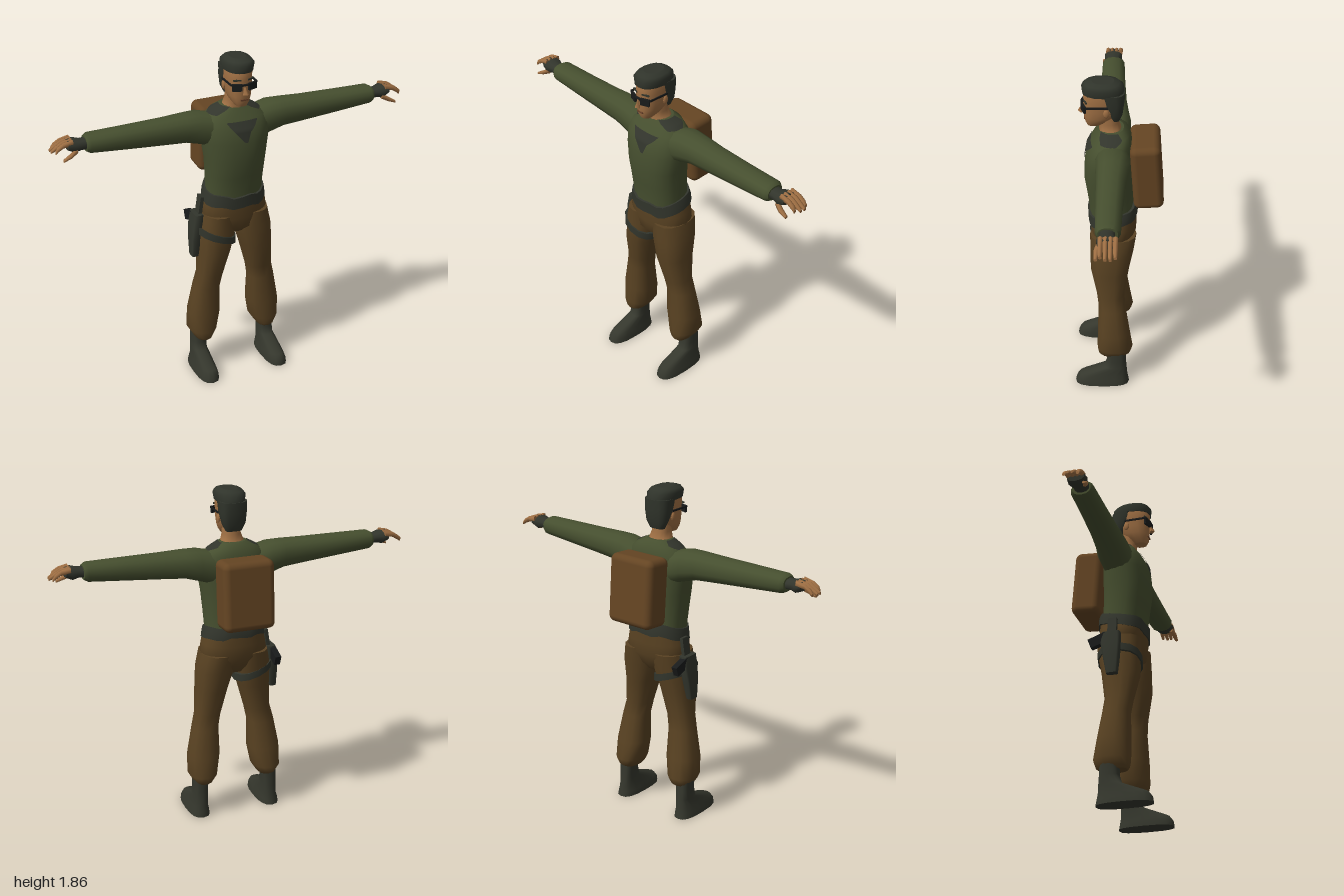
import * as THREE from 'three';
import { RoundedBoxGeometry } from 'three/addons/geometries/RoundedBoxGeometry.js';

const material = (name, color) => Object.assign(new THREE.MeshStandardMaterial({ color }), { name });

// Point on a rounded cross-section [level, u0, u1, v0, v1]; angle 0 is the front, growing to +u.
function ringPoint([level, u0, u1, v0, v1], angle, power, grow = 0) {
  const bend = (t) => Math.sign(t) * Math.abs(t) ** (2 / power);
  return [
    (u0 + u1) / 2 + ((u1 - u0) / 2 + grow) * bend(Math.sin(angle)),
    level,
    (v0 + v1) / 2 + ((v1 - v0) / 2 + grow) * bend(Math.cos(angle)),
  ];
}

// Capped skin over rising cross-sections; alongX turns the rising axis to +x (u = z, v = y).
function loft(sections, { n = 14, power = 2.3, alongX = false } = {}) {
  const pos = [], index = [];
  const ring = (s) => {
    const start = pos.length / 3;
    for (let j = 0; j < n; j++) pos.push(...ringPoint(s, (j / n) * Math.PI * 2, power));
    return start;
  };
  const starts = sections.map(ring);
  for (let i = 0; i + 1 < starts.length; i++) {
    for (let j = 0; j < n; j++) {
      const k = (j + 1) % n, [a, b] = [starts[i], starts[i + 1]];
      index.push(a + j, a + k, b + k, a + j, b + k, b + j);
    }
  }
  [[sections[0], false], [sections.at(-1), true]].forEach(([s, top]) => {
    const a = ring(s), c = a + n;
    pos.push((s[1] + s[2]) / 2, s[0], (s[3] + s[4]) / 2);
    for (let j = 0; j < n; j++) {
      const k = (j + 1) % n;
      index.push(c, a + (top ? j : k), a + (top ? k : j));
    }
  });
  if (alongX) for (let i = 0; i < pos.length; i += 3) [pos[i], pos[i + 1], pos[i + 2]] = [pos[i + 1], pos[i + 2], pos[i]];
  const geo = new THREE.BufferGeometry();
  geo.setAttribute('position', new THREE.Float32BufferAttribute(pos, 3));
  geo.setIndex(index);
  geo.computeVertexNormals();
  return geo;
}

// Mirror image across x = 0, with corner order kept outward.
function mirrored(source) {
  const geo = source.clone().scale(-1, 1, 1);
  const id = geo.index.array;
  for (let i = 0; i < id.length; i += 3) [id[i], id[i + 1]] = [id[i + 1], id[i]];
  geo.computeVertexNormals();
  return geo;
}

// Move every vertex height by a rule of x and z.
function slope(geo, rule) {
  const p = geo.attributes.position;
  for (let i = 0; i < p.count; i++) p.setY(i, p.getY(i) + rule(p.getX(i), p.getZ(i)));
  geo.computeVertexNormals();
  return geo;
}

const TORSO = [
  [1.06, -.155, .155, -.095, .152], [1.12, -.155, .155, -.085, .155], [1.2, -.16, .16, -.08, .165],
  [1.3, -.168, .168, -.08, .18], [1.4, -.185, .185, -.08, .175], [1.47, -.19, .19, -.08, .163],
  [1.52, -.175, .175, -.07, .135], [1.56, -.12, .12, -.06, .108], [1.585, -.07, .07, -.03, .092],
];

// Thin painted patch on the torso; rows are [y, angle0, angle1].
function torsoPatch(rows) {
  const at = (table, i, t) => table[i].map((v, k) => v + (table[i + 1][k] - v) * t);
  const geo = new THREE.PlaneGeometry(1, 1, 8, 12), p = geo.attributes.position;
  for (let i = 0; i < p.count; i++) {
    const f = (.5 - p.getY(i)) * (rows.length - 1), r = Math.min(Math.floor(f), rows.length - 2);
    const [y, a0, a1] = at(rows, r, f - r);
    let s = TORSO.findIndex((q) => q[0] >= y) - 1;
    s = Math.max(0, s);
    const section = at(TORSO, s, (y - TORSO[s][0]) / (TORSO[s + 1][0] - TORSO[s][0]));
    p.setXYZ(i, ...ringPoint(section, a0 + (a1 - a0) * (p.getX(i) + .5), 2.3, .005));
  }
  geo.computeVertexNormals();
  return geo;
}

export function createModel() {
  const model = new THREE.Group();
  model.name = 'figure';
  const green = material('shirt green', 0x464f2f), brown = material('trouser brown', 0x594222);
  const tan = material('pack brown', 0x654523), skin = material('skin', 0xa07044);
  const dark = material('dark cloth', 0x32352c), boot = material('boot', 0x35372d);
  const hairMat = material('hair', 0x30342b), black = material('black', 0x191b1b);
  const lip = material('lip', 0x6a4229);

  const add = (name, geo, mat) => {
    const mesh = new THREE.Mesh(geo, mat);
    mesh.name = name;
    model.add(mesh);
    return mesh;
  };
  const pair = (name, geo, mat) => {
    add('left' + name, geo, mat);
    add('right' + name, mirrored(geo), mat);
  };
  const box = (w, h, d, x, y, z, rx = 0, ry = 0, rz = 0) =>
    new THREE.BoxGeometry(w, h, d).rotateX(rx).rotateY(ry).rotateZ(rz).translate(x, y, z);

  // Shirt
  add('torso', loft(TORSO, { n: 24 }), green);
  pair('Sleeve', loft([
    [.1, -.06, .12, 1.35, 1.535], [.2, -.068, .115, 1.385, 1.56], [.28, -.055, .11, 1.408, 1.56],
    [.4, -.042, .106, 1.417, 1.556], [.6, -.032, .103, 1.433, 1.553], [.8, -.026, .1, 1.45, 1.55],
    [.82, -.012, .088, 1.462, 1.538],
  ], { alongX: true }), green);
  add('chestPatch', torsoPatch([
    [1.515, -.42, .48], [1.488, -.3, .34], [1.46, -.17, .17], [1.43, -.06, .12], [1.405, .02, .08],
  ]), dark);
  pair('CollarPatch', torsoPatch([[1.584, .55, 2], [1.565, .65, 2.1], [1.545, .9, 1.7]]), dark);

  // Trousers
  add('hips', loft([
    [.85, -.06, .06, -.04, .1], [.89, -.15, .15, -.07, .14], [.95, -.19, .19, -.098, .148],
    [1.02, -.178, .178, -.1, .152], [1.085, -.162, .162, -.1, .152],
  ], { n: 20 }), brown);
  pair('Leg', loft([
    [.195, .145, .235, -.048, .098], [.21, .135, .245, -.07, .11], [.25, .11, .268, -.084, .114],
    [.36, .088, .27, -.066, .112], [.52, .09, .24, -.042, .106], [.6, .075, .22, -.036, .116],
    [.75, .036, .212, -.06, .148], [.87, .002, .21, -.085, .15], [.97, .002, .188, -.1, .15],
  ]), brown);

  // Belt, higher at the back
  add('belt', slope(loft([
    [1.052, -.176, .176, -.107, .161], [1.085, -.171, .171, -.107, .162], [1.118, -.163, .163, -.1, .164],
  ], { n: 24 }), (x, z) => -.2 * z + .008 * Math.sin(x * 45)), dark);

  // Boots
  pair('Boot', loft([
    [0, .15, .27, -.065, .24], [.03, .152, .266, -.06, .235], [.06, .16, .256, -.055, .213],
    [.115, .165, .248, -.05, .075], [.16, .165, .247, -.047, .06], [.22, .16, .248, -.045, .06],
  ], { n: 16, power: 2.7 }), boot);

  // Gloves, fingers and thumbs
  pair('Glove', loft([
    [.8, 0, .08, 1.472, 1.53], [.845, .002, .082, 1.475, 1.53], [.88, -.012, .092, 1.468, 1.54],
    [.915, -.01, .085, 1.485, 1.538],
  ], { n: 10, alongX: true }), dark);
  for (let i = 0; i < 4; i++) {
    const z = -.014 + i * .024, tip = [.985, 1, .998, .98][i];
    pair('Finger' + (i + 1), loft([
      [.89, z, z + .026, 1.512, 1.545], [.94, z, z + .025, 1.506, 1.534],
      [.97, z + .001, z + .024, 1.488, 1.516], [tip, z + .004, z + .021, 1.478, 1.495],
    ], { n: 6, alongX: true }), skin);
  }
  pair('Thumb', loft([
    [.87, .06, .09, 1.47, 1.5], [.91, .075, .104, 1.452, 1.478], [.948, .083, .102, 1.44, 1.455],
  ], { n: 6, alongX: true }), skin);

  // Neck and head
  add('neck', loft([
    [1.545, -.085, .085, -.03, .1], [1.59, -.06, .06, -.015, .098],
    [1.62, -.05, .05, -.003, .1], [1.69, -.05, .05, 0, .11],
  ]), skin);
  add('head', loft([
    [1.605, -.03, .03, .09, .16], [1.63, -.048, .048, .04, .172], [1.66, -.06, .06, .005, .175],
    [1.7, -.067, .067, -.018, .178], [1.75, -.07, .07, -.027, .178], [1.8, -.071, .071, -.027, .18],
    [1.83, -.06, .06, -.01, .15],
  ], { n: 16 }), skin);
  add('nose', new THREE.ConeGeometry(.018, .055, 4).rotateX(-.25).translate(0, 1.705, .184), skin);
  add('mouth', box(.04, .008, .008, 0, 1.645, .172), lip);
  pair('Ear', new THREE.SphereGeometry(.02, 8, 6).scale(.4, 1.2, .8).translate(.068, 1.7, .06), skin);
  pair('Brow', box(.042, .008, .008, .038, 1.755, .168, 0, .3), hairMat);

  // Hair: crown and back
  add('hairCrown', loft([
    [1.792, -.075, .075, -.034, .184], [1.83, -.081, .081, -.03, .188],
    [1.848, -.068, .068, -.008, .172], [1.858, -.042, .042, .02, .135],
  ], { n: 16 }), hairMat);
  add('hairBack', loft([
    [1.64, -.044, .044, -.01, .035], [1.68, -.064, .064, -.025, .05],
    [1.74, -.074, .074, -.033, .085], [1.8, -.076, .076, -.036, .11],
  ], { power: 2.8 }), hairMat);

  // Glasses
  pair('Lens', box(.052, .038, .012, .042, 1.72, .177, 0, .35), black);
  pair('GlassesArm', box(.006, .01, .12, .072, 1.735, .11), black);
  add('glassesBridge', box(.04, .009, .01, 0, 1.732, .187), black);

  // Backpack
  add('backpack', new RoundedBoxGeometry(.285, .375, .16, 3, .035)
    .rotateX(.07).translate(-.003, 1.34, -.152), tan);

  // Holster on the right thigh, with strap and grip
  add('thighStrap', slope(loft([
    [.823, -.22, -.001, -.085, .158], [.863, -.22, -.001, -.086, .158],
  ]), (x) => -.35 * (x + .11)), dark);
  add('holster', loft([
    [.72, -.25, -.212, -.005, .055], [.82, -.25, -.2, -.025, .065],
    [.9, -.242, -.19, -.04, .07], [.97, -.232, -.182, -.035, .065],
  ], { n: 12, power: 5 }), dark);
  add('holsterGrip', box(.034, .055, .1, -.215, .925, -.055, -.35), black);
  add('holsterHanger', box(.02, .13, .05, -.192, 1, .015, 0, 0, -.15), dark);
  return model;
}
